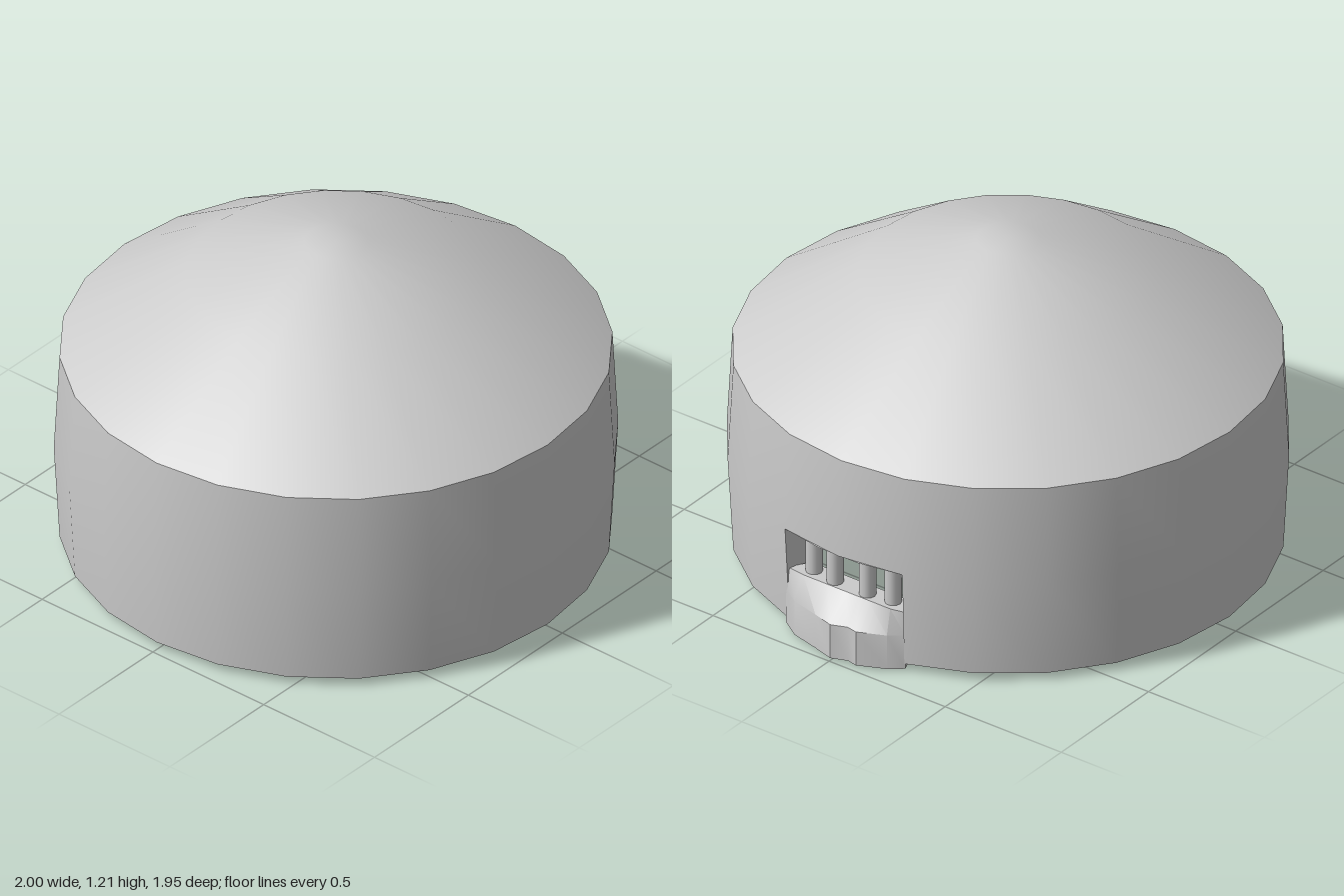
import * as THREE from 'three';
import { toCreasedNormals } from 'three/addons/utils/BufferGeometryUtils.js';

const SIDES = 24, STEP = Math.PI * 2 / SIDES;
const material = new THREE.MeshStandardMaterial({ color: 0xcccccc });
const thin = new THREE.MeshStandardMaterial({ color: 0xcccccc, side: THREE.DoubleSide });
const vec = (list) => list.map(([x, y]) => new THREE.Vector2(x, y));

function add(parent, name, geometry, mat = material) {
  const mesh = new THREE.Mesh(geometry, mat);
  mesh.name = name;
  parent.add(mesh);
  return mesh;
}

// Surface of revolution; optionally drops the two facets around +x on one profile span
function turned(points, openSpan = -1) {
  const geometry = new THREE.LatheGeometry(vec(points), SIDES);
  const spans = points.length - 1, mid = SIDES / 4;
  const index = Array.from(geometry.index.array).filter((_, k) => {
    const quad = Math.floor(k / 6), side = Math.floor(quad / spans);
    return !(quad % spans === openSpan && (side === mid || side === mid - 1));
  });
  geometry.setIndex(index);
  return geometry;
}

export function createModel() {
  const model = new THREE.Group();
  const body = new THREE.Group();
  body.name = 'body';
  body.position.x = -0.025;
  model.add(body);

  // Round shell: wall, roof, hollow inside and the rim under it
  add(body, 'outerWall', turned([[0.955, 0.03], [0.975, 0.4], [0.955, 0.775]], 0));
  add(body, 'roof', turned([[0.955, 0.775], [0.52, 1.065], [0.11, 1.205], [0, 1.205]]));
  add(body, 'innerWall', turned([[0.84, 0.775], [0.84, 0.4], [0.84, 0.03]], 1));
  add(body, 'ceiling', turned([[0, 1.1], [0.1, 1.1], [0.46, 0.98], [0.84, 0.775]]));
  add(body, 'bottomRim', turned([[0.84, 0.03], [0.955, 0.03]], 0));

  // Reveals of the opening
  const jamb = new THREE.ShapeGeometry(new THREE.Shape(
    vec([[0.84, 0.03], [0.955, 0.03], [0.975, 0.4], [0.84, 0.4]])));
  for (const s of [-1, 1]) add(body, 'openingJamb', jamb, thin).rotation.y = s * STEP;
  const lintel = new THREE.RingGeometry(0.84, 0.975, 2, 1, -STEP, STEP * 2);
  lintel.rotateX(Math.PI / 2);
  add(body, 'openingLintel', lintel, thin).position.y = 0.4;

  // Bulging sill block with a sloped top, lofted from one plan outline
  const outline = [[0.82, 0.22], [0.895, 0.265], [0.945, 0.19], [0.972, 0.08], [0.995, 0],
    [0.972, -0.06], [0.98, -0.1], [0.935, -0.2], [0.895, -0.25], [0.82, -0.22]];
  let sill = new THREE.ExtrudeGeometry(
    new THREE.Shape(vec(outline.map(([x, z]) => [x, -z]))),
    { depth: 1, steps: 2, bevelEnabled: false });
  sill.rotateX(-Math.PI / 2);
  const heights = [0.01, 0.145, 0.235], p = sill.attributes.position;
  for (let i = 0; i < p.count; i++) {
    const layer = Math.round(p.getY(i) * 2);
    p.setY(i, heights[layer]);
    if (layer === 2) {
      p.setX(i, Math.min(p.getX(i), 0.905));
      p.setZ(i, p.getZ(i) * 0.96);
    }
  }
  sill.computeVertexNormals();
  sill = toCreasedNormals(sill, 0.6);
  add(model, 'sill', sill);

  // Low foot under the sill
  add(model, 'sillFoot', new THREE.BoxGeometry(0.075, 0.02, 0.4)).position.set(0.8575, 0.01, 0);

  // Four upright bars in two pairs
  for (const z of [-0.17, -0.07, 0.07, 0.17]) {
    const x = Math.sqrt(0.9 * 0.9 - z * z) - 0.025;
    add(model, 'bar', new THREE.CylinderGeometry(0.03, 0.03, 0.18, 10)).position.set(x, 0.313, z);
  }
  return model;
}
